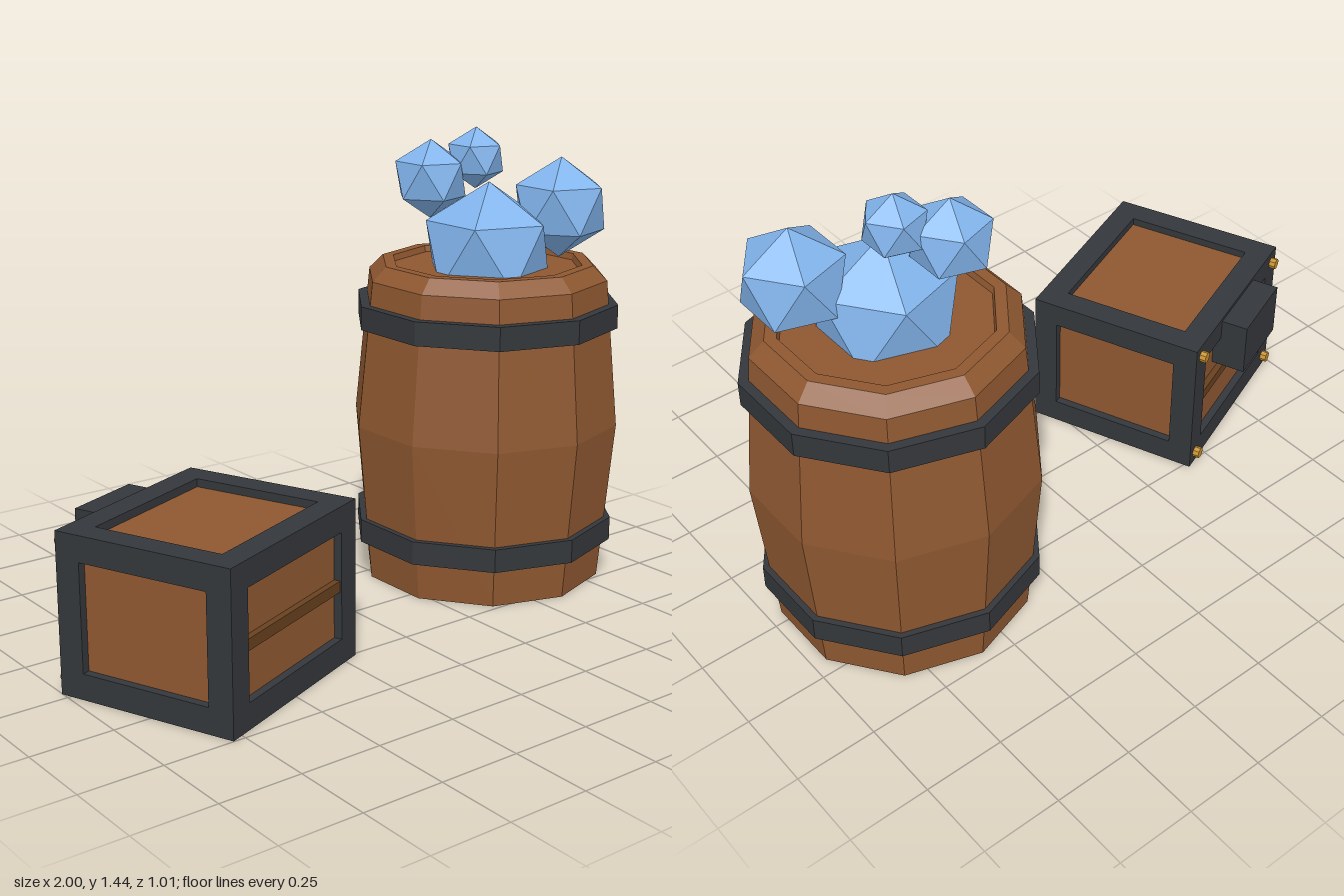
import * as THREE from 'three';

const material = (color) => new THREE.MeshStandardMaterial({ color, flatShading: true });
const wood = material(0x8f5831);
const darkWood = material(0x67401f);
const iron = material(0x34373b);
const brass = material(0xc8922e);
const crystalBlue = material(0x82b4ec);

function add(parent, name, geometry, mat, x = 0, y = 0, z = 0) {
  const mesh = new THREE.Mesh(geometry, mat);
  mesh.name = name;
  mesh.position.set(x, y, z);
  parent.add(mesh);
  return mesh;
}

const box = (w, h, d) => new THREE.BoxGeometry(w, h, d);

// Ten-sided turned solid from [radius, height] pairs, listed upwards on the outside
const turned = (points) =>
  new THREE.LatheGeometry(points.map(([r, y]) => new THREE.Vector2(r, y)), 10);

function createBarrel() {
  const barrel = new THREE.Group();
  barrel.name = 'barrel';

  // Bulging body with chamfered rim and slightly sunken lid
  add(barrel, 'barrelBody', turned([
    [0, 0], [0.385, 0], [0.43, 0.51], [0.385, 0.975],
    [0.34, 1.02], [0.305, 1.02], [0.3, 1.0], [0, 1.0],
  ]), wood);

  // Two straight iron hoops
  for (const y of [0.125, 0.825]) {
    add(barrel, 'barrelHoop', turned([
      [0.388, 0], [0.422, 0], [0.422, 0.075], [0.388, 0.075], [0.388, 0],
    ]), iron, 0, y, 0);
  }
  return barrel;
}

function createCrystals() {
  const crystals = new THREE.Group();
  crystals.name = 'crystals';
  // Each entry: x, y, z, radius
  const list = [
    [0, 1.05, 0.005, 0.22],
    [0.22, 1.18, 0.1, 0.16],
    [-0.13, 1.276, -0.125, 0.124],
    [0, 1.338, -0.06, 0.097],
  ];
  // Tilt so that one corner points straight up
  const tilt = -Math.atan2(2, 1 + Math.sqrt(5));
  for (const [x, y, z, r] of list) {
    add(crystals, 'crystal', new THREE.IcosahedronGeometry(r).rotateZ(tilt), crystalBlue, x, y, z);
  }
  return crystals;
}

function createCrate() {
  const crate = new THREE.Group();
  crate.name = 'crate';
  const W = 0.635, H = 0.48, D = 0.57, T = 0.078, recess = 0.025;
  const ex = (W - T) / 2, ez = (D - T) / 2, mid = H / 2;

  // Recessed wooden core seen as panels on all six sides
  add(crate, 'cratePanels', box(W - 2 * recess, H - 2 * recess, D - 2 * recess), wood, 0, mid, 0);

  // Iron frame: uprights, then rails between them
  for (const a of [-1, 1]) {
    for (const b of [-1, 1]) {
      const railY = mid + (b * (H - T)) / 2;
      add(crate, 'cratePost', box(T, H, T), iron, a * ex, mid, b * ez);
      add(crate, 'crateRail', box(W - 2 * T, T, T), iron, 0, railY, a * ez);
      add(crate, 'crateSideRail', box(T, T, D - 2 * T), iron, a * ex, railY, 0);
    }
  }

  // Horizontal slats on front and back
  for (const s of [-1, 1]) {
    add(crate, 'crateSlat', box(W - 2 * T, 0.034, 0.03), darkWood, 0, 0.238, s * (D / 2 - 0.02));
  }

  // Lock block on the back
  add(crate, 'lock', box(0.25, 0.175, 0.11), iron, 0, 0.382, -0.315);

  // Brass studs in the corners of the back frame
  for (const x of [-0.28, 0.28]) {
    for (const y of [0.04, 0.44]) {
      const stud = new THREE.CylinderGeometry(0.018, 0.018, 0.04, 8).rotateX(Math.PI / 2);
      add(crate, 'stud', stud, brass, x, y, -D / 2);
    }
  }
  return crate;
}

export function createModel() {
  const model = new THREE.Group();
  model.name = 'barrelAndCrate';

  const barrelSet = new THREE.Group();
  barrelSet.name = 'crystalBarrel';
  barrelSet.add(createBarrel(), createCrystals());
  barrelSet.position.set(0.59, 0, -0.08);

  const crate = createCrate();
  crate.position.set(-0.6, 0, 0.115);
  crate.rotation.y = THREE.MathUtils.degToRad(22.2);

  model.add(barrelSet, crate);
  return model;
}
